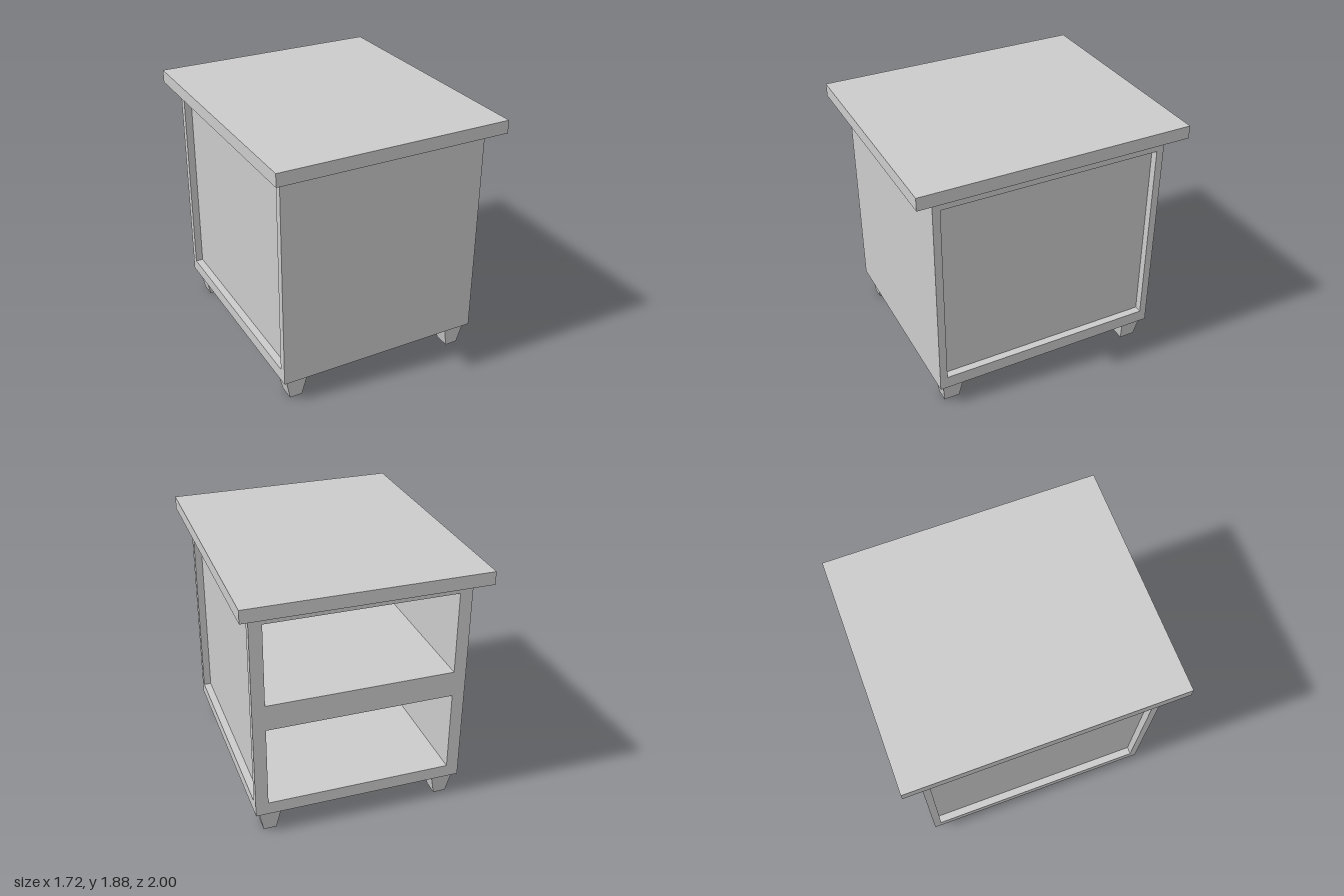
import * as THREE from 'three';

const material = new THREE.MeshStandardMaterial({ color: 0xcccccc, flatShading: true });

function add(parent, name, geometry) {
  const mesh = new THREE.Mesh(geometry, material);
  mesh.name = name;
  parent.add(mesh);
  return mesh;
}

// Box given by its minimum and maximum corners
function box(parent, name, [x0, y0, z0], [x1, y1, z1]) {
  const mesh = add(parent, name, new THREE.BoxGeometry(x1 - x0, y1 - y0, z1 - z0));
  mesh.position.set((x0 + x1) / 2, (y0 + y1) / 2, (z0 + z1) / 2);
  return mesh;
}

function rectangle(target, x, y0, y1) {
  target.moveTo(-x, y0).lineTo(x, y0).lineTo(x, y1).lineTo(-x, y1).closePath();
  return target;
}

// Square leg narrowing towards the floor
function legGeometry(height) {
  const g = new THREE.BoxGeometry(0.168, height, 0.16);
  const p = g.attributes.position;
  for (let i = 0; i < p.count; i++) {
    if (p.getY(i) < 0) {
      p.setX(i, p.getX(i) * 0.56);
      p.setZ(i, p.getZ(i) * 0.73);
    }
  }
  g.translate(0, height / 2, 0);
  g.computeVertexNormals();
  return g;
}

export function createModel() {
  const group = new THREE.Group();
  group.name = 'bedsideCabinet';

  const bottom = 0.175, top = 1.79;      // body height range
  const W = 0.775, D = 0.865;            // body half width and half depth
  const panelX = 0.72, frameZ = 0.81;    // recessed side panel and its frame
  const openLow = 0.27, openHigh = 1.69; // opening range

  box(group, 'tabletop', [-0.86, top, -1], [0.86, 1.885, 1]);

  // Carcass with two shelf compartments open at the back
  const section = rectangle(new THREE.Shape(), panelX, bottom, top);
  for (const [y0, y1] of [[openLow, 0.884], [1.078, openHigh]]) {
    section.holes.push(rectangle(new THREE.Path(), 0.683, y0, y1));
  }
  const carcass = new THREE.ExtrudeGeometry(section, { depth: D + frameZ, bevelEnabled: false });
  add(group, 'carcass', carcass).position.z = -D;

  // Solid front
  box(group, 'frontPanel', [-W, bottom, frameZ], [W, top, D]);

  // Raised frames around the side panels
  for (const side of [-1, 1]) {
    const frame = new THREE.Group();
    frame.name = side > 0 ? 'leftFrame' : 'rightFrame';
    const x0 = side > 0 ? panelX : -W, x1 = side > 0 ? W : -panelX;
    box(frame, 'bottomRail', [x0, bottom, -frameZ], [x1, openLow, frameZ]);
    box(frame, 'topRail', [x0, openHigh, -frameZ], [x1, top, frameZ]);
    box(frame, 'backStile', [x0, bottom, -D], [x1, top, -frameZ]);
    group.add(frame);
  }

  // Four tapered legs
  const leg = legGeometry(bottom);
  for (const x of [-0.664, 0.664]) {
    for (const z of [-0.755, 0.755]) {
      const name = (z > 0 ? 'front' : 'back') + (x > 0 ? 'Left' : 'Right') + 'Leg';
      add(group, name, leg).position.set(x, 0, z);
    }
  }
  return group;
}
